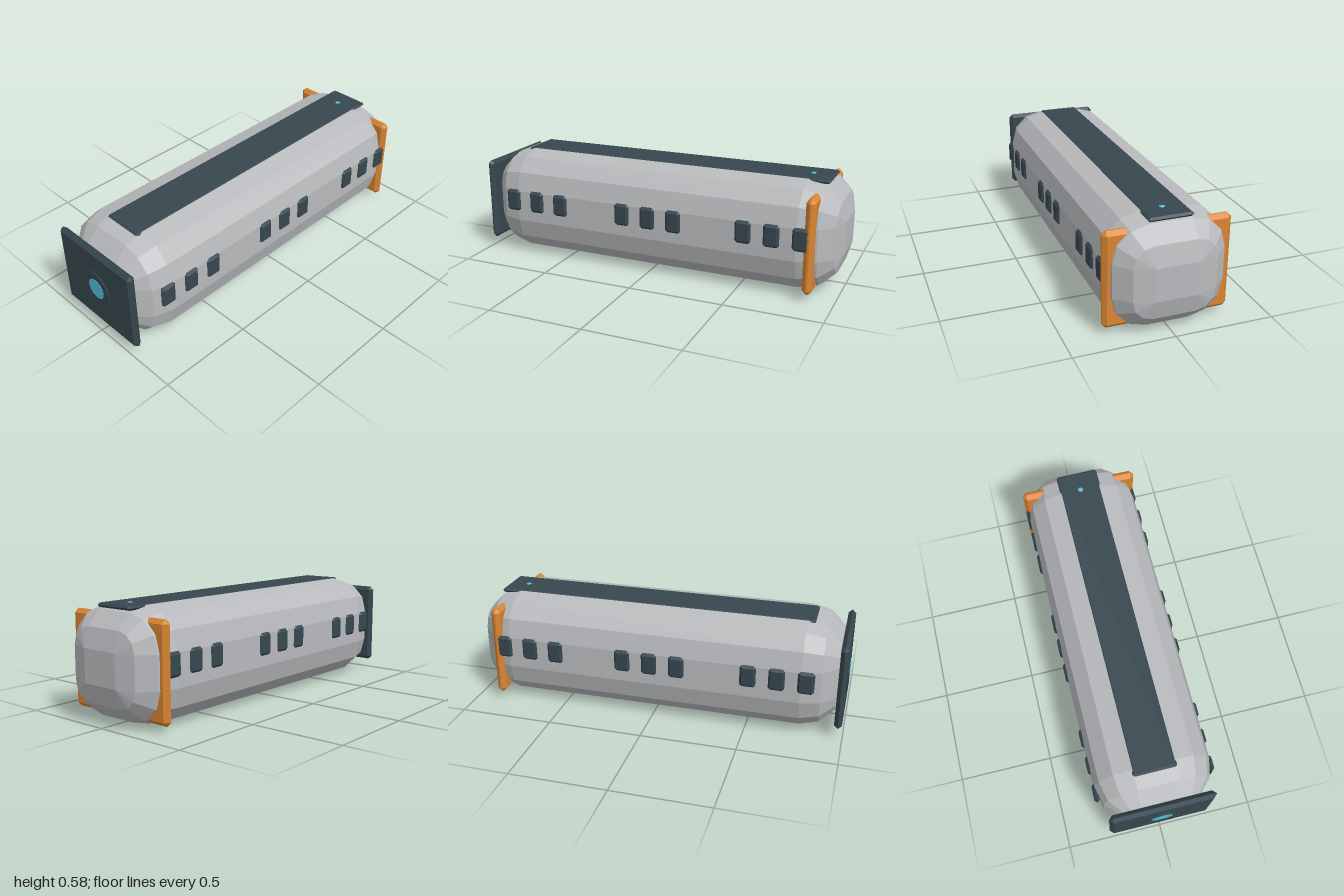
import * as THREE from 'three';
import { ConvexGeometry } from 'three/addons/geometries/ConvexGeometry.js';

const SIGNS = [-1, 1];

// Box with every edge cut by one flat chamfer, built as a hull of 24 corners.
function chamferBox(w, h, d, c) {
  const half = [w / 2, h / 2, d / 2];
  const pts = [];
  for (let axis = 0; axis < 3; axis++)
    for (const sx of SIGNS) for (const sy of SIGNS) for (const sz of SIGNS) {
      const s = [sx, sy, sz];
      pts.push(new THREE.Vector3(...half.map((v, i) => s[i] * (i === axis ? v : v - c))));
    }
  return new ConvexGeometry(pts);
}

// Faceted rounded box: each corner is an eighth of a coarse sphere.
function facetedHull(w, h, d, r, steps) {
  const pts = [];
  for (const sx of SIGNS) for (const sy of SIGNS) for (const sz of SIGNS)
    for (let i = 0; i <= steps; i++) {
      const a = (i / steps) * Math.PI / 2;
      const last = i === steps ? 0 : steps;
      for (let j = 0; j <= last; j++) {
        const b = (j / steps) * Math.PI / 2;
        pts.push(new THREE.Vector3(
          sx * (w / 2 - r + r * Math.cos(a) * Math.cos(b)),
          sy * (h / 2 - r + r * Math.cos(a) * Math.sin(b)),
          sz * (d / 2 - r + r * Math.sin(a))));
      }
    }
  return new ConvexGeometry(pts);
}

export function createModel() {
  const mat = (name, color) => {
    const m = new THREE.MeshStandardMaterial({ color });
    m.name = name;
    return m;
  };
  const hullGrey = mat('hull grey', 0xb8babd);
  const darkSlate = mat('dark slate', 0x37474f);
  const orange = mat('orange', 0xd98432);
  const cyan = mat('cyan', 0x4fc0da);

  const group = new THREE.Group();
  group.name = 'capsuleCar';
  const add = (name, geometry, material, x, y, z) => {
    const mesh = new THREE.Mesh(geometry, material);
    mesh.name = name;
    mesh.position.set(x, y, z);
    group.add(mesh);
    return mesh;
  };

  // Long body
  add('body', facetedHull(0.61, 0.568, 1.975, 0.2, 3), hullGrey, 0, 0.284, -0.0125);

  // Roof strip with a small beacon
  add('roofStrip', chamferBox(0.226, 0.021, 1.72, 0.0099), darkSlate, 0, 0.5605, -0.05);
  add('roofBeacon', new THREE.ConeGeometry(0.017, 0.007, 10).toNonIndexed(), cyan, 0, 0.5735, -0.8);

  // Front plate, lamp ring and lamp
  add('frontPlate', chamferBox(0.546, 0.455, 0.04, 0.0195), darkSlate, 0, 0.282, 0.974);
  const disc = (r, t) => new THREE.CylinderGeometry(r, r, t, 12).rotateX(Math.PI / 2);
  add('lampRing', disc(0.1, 0.01), darkSlate, 0, 0.281, 0.993);
  add('lamp', disc(0.057, 0.008), cyan, 0, 0.281, 0.996);

  // Rear fins and side windows, mirrored left and right
  const finGeo = chamferBox(0.155, 0.49, 0.05, 0.02);
  const windowGeo = chamferBox(0.028, 0.12, 0.086, 0.0135);
  for (const side of SIGNS) {
    const label = side > 0 ? 'left' : 'right';
    add(label + 'Fin', finGeo, orange, side * 0.2395, 0.28, -0.865);
    for (const centre of [0.655, -0.01, -0.677])
      for (const k of [-1, 0, 1])
        add(label + 'Window', windowGeo, darkSlate, side * 0.303, 0.315, centre + k * 0.146);
  }
  return group;
}
